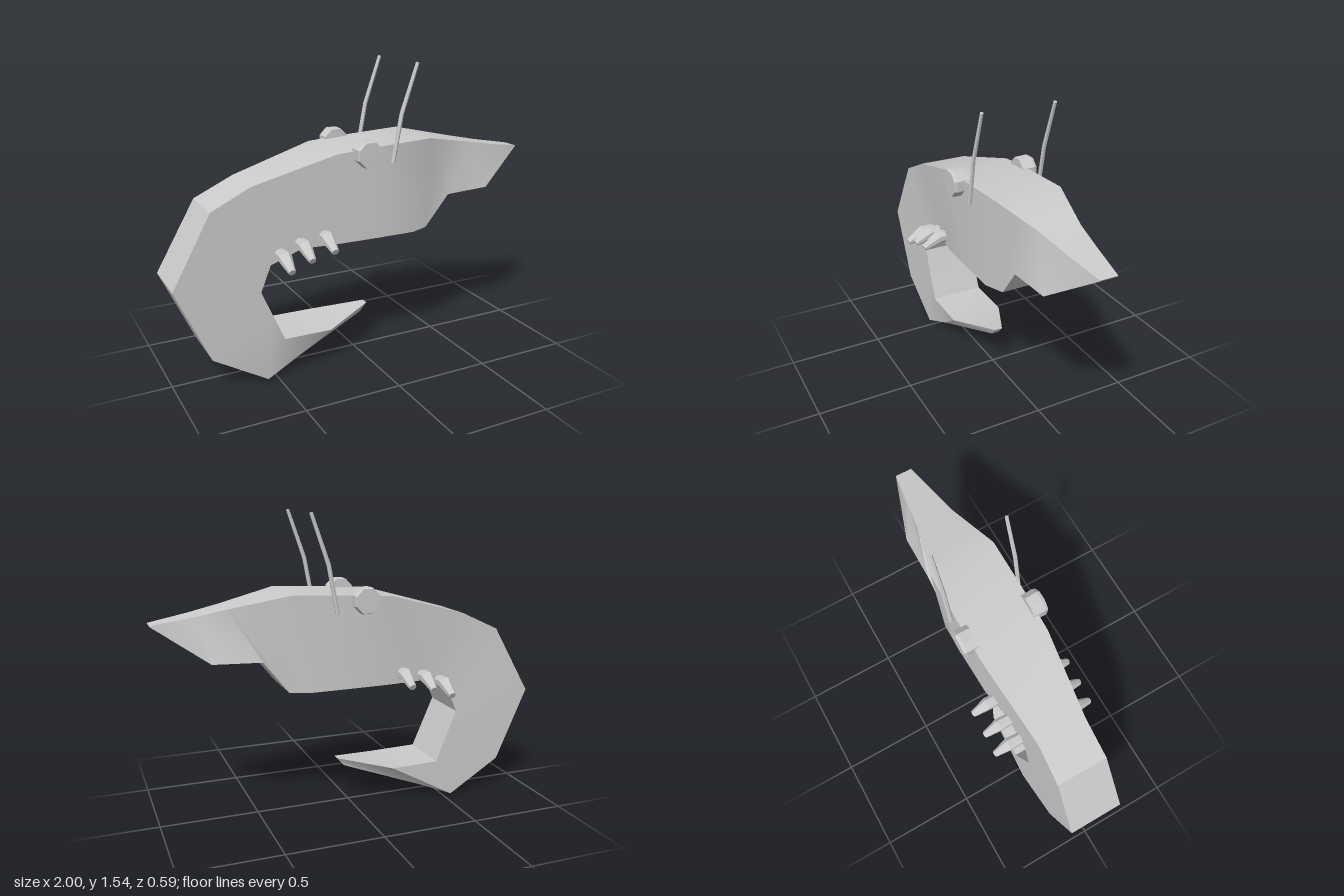
import * as THREE from 'three';
import { toCreasedNormals } from 'three/addons/utils/BufferGeometryUtils.js';

const material = new THREE.MeshStandardMaterial({ color: 0xcccccc });

// Skin a list of equal-length rings and cap both ends.
function loft(rings, crease) {
  const n = rings[0].length, index = [], last = (rings.length - 1) * n;
  for (let i = 0; i < rings.length - 1; i++) {
    for (let j = 0; j < n; j++) {
      const a = i * n + j, b = i * n + (j + 1) % n;
      index.push(a, b, b + n, a, b + n, a + n);
    }
  }
  for (let j = 1; j < n - 1; j++) {
    index.push(0, j + 1, j);
    index.push(last, last + j, last + j + 1);
  }
  const geometry = new THREE.BufferGeometry().setFromPoints(rings.flat());
  geometry.setIndex(index);
  return toCreasedNormals(geometry, crease);
}

// Tapered, bent limb: each stop is [x, y, z, radius].
function limb(stops, sides) {
  const points = stops.map(([x, y, z]) => new THREE.Vector3(x, y, z));
  const up = new THREE.Vector3(0, 1, 0);
  const rings = stops.map((stop, i) => {
    const before = points[Math.max(i - 1, 0)];
    const after = points[Math.min(i + 1, points.length - 1)];
    const turn = new THREE.Quaternion().setFromUnitVectors(up, after.clone().sub(before).normalize());
    return Array.from({ length: sides }, (_, j) => {
      const t = (j + 0.5) / sides * Math.PI * 2;
      return new THREE.Vector3(Math.cos(t), 0, -Math.sin(t))
        .multiplyScalar(stop[3]).applyQuaternion(turn).add(points[i]);
    });
  });
  return loft(rings, 0.3);
}

function part(name, geometry) {
  const mesh = new THREE.Mesh(geometry, material);
  mesh.name = name;
  return mesh;
}

// Curled body from tail tip to snout: back x, y, half width, then belly x, y, half width.
const sections = [
  [0.03, 0.2, 0.02, 0.07, 0.245, 0.02],
  [-0.39, 0.06, 0.11, -0.2, 0.195, 0.145],
  [-0.55, 0, 0.145, -0.455, 0.2, 0.145],
  [-0.83, 0.17, 0.145, -0.513, 0.335, 0.143],
  [-1, 0.55, 0.145, -0.57, 0.47, 0.14],
  [-0.8, 0.905, 0.135, -0.515, 0.6, 0.135],
  [-0.6, 1.0, 0.13, -0.35, 0.66, 0.14],
  [-0.17, 1.12, 0.175, -0.17, 0.665, 0.172],
  [0.05, 1.135, 0.178, 0.05, 0.665, 0.178],
  [0.35, 1.15, 0.176, 0.26, 0.665, 0.178],
  [0.495, 1.12, 0.138, 0.36, 0.665, 0.137],
  [0.64, 1.09, 0.1, 0.49, 0.83, 0.145],
  [0.8, 1.058, 0.076, 0.735, 0.84, 0.143],
  [1, 1.025, 0.045, 0.998, 1.02, 0.045],
];

export function createModel() {
  const model = new THREE.Group();
  model.name = 'shrimp';

  const rings = sections.map(([bx, by, bw, x, y, w]) => [
    new THREE.Vector3(bx, by, bw), new THREE.Vector3(x, y, w),
    new THREE.Vector3(x, y, -w), new THREE.Vector3(bx, by, -bw),
  ]);
  model.add(part('body', loft(rings, 0.6)));

  for (const side of [1, -1]) {
    const label = side > 0 ? 'front' : 'back';

    // Octagonal eye with a slightly bevelled outer rim
    model.add(part(label + 'Eye', limb([
      [-0.02, 1.11, side * 0.15, 0.068],
      [-0.02, 1.11, side * 0.215, 0.07],
      [-0.02, 1.11, side * 0.23, 0.065],
    ], 8)));

    // Swept-back feeler
    model.add(part(label + 'Feeler', limb([
      [0.125, 1.05, side * 0.19, 0.011],
      [0.17, 1.29, side * 0.19, 0.011],
      [0.255, 1.535, side * 0.19, 0.009],
    ], 6)));

    // Three stubby bent legs
    [[-0.465, 0.65], [-0.36, 0.69], [-0.24, 0.715]].forEach(([x, y], i) => {
      model.add(part(label + 'Leg' + (i + 1), limb([
        [x, y, side * 0.12, 0.03],
        [x, y, side * 0.2, 0.035],
        [x, y - 0.045, side * 0.285, 0.018],
      ], 8)));
    });
  }
  return model;
}
